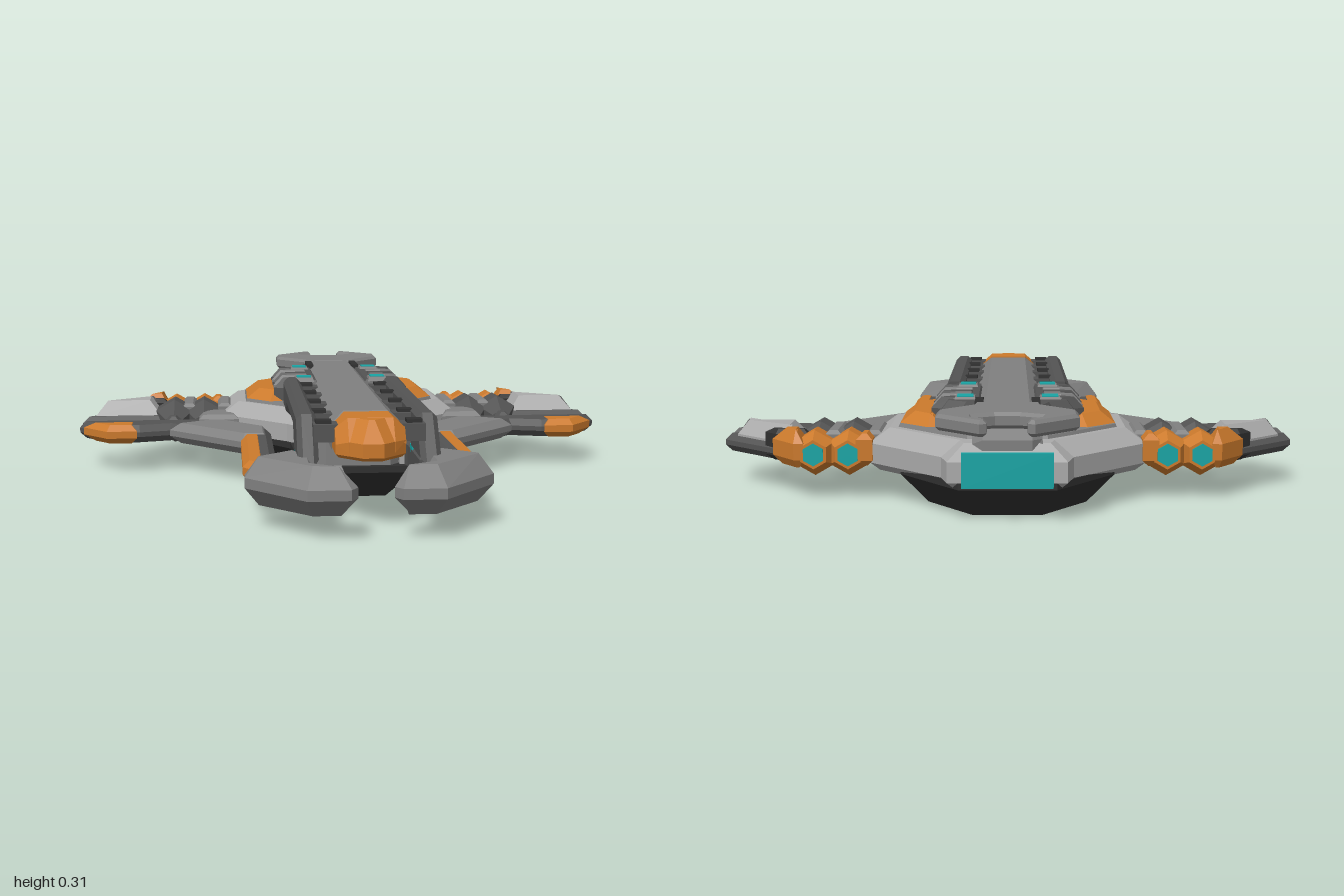
import * as THREE from 'three';

const LIGHT = 0xaaaaaa, MID = 0x808080, DARK = 0x545454, BLACK = 0x303030, ORANGE = 0xcc7a2c, TEAL = 0x18a5a5;
const materials = {};
const paint = (color) => (materials[color] ??= new THREE.MeshStandardMaterial({ color, flatShading: true }));

// Move every edge of a counter-clockwise outline inwards by d
function inset(pts, d) {
  const n = pts.length;
  const normal = (a, b) => new THREE.Vector2(a.y - b.y, b.x - a.x).normalize();
  return pts.map((p, i) => {
    const n1 = normal(pts[(i + n - 1) % n], p), n2 = normal(p, pts[(i + 1) % n]);
    const k = d / Math.max(0.35, 1 + n1.dot(n2));
    return p.clone().addScaledVector(n1.add(n2), k);
  });
}

// Stack of inset outlines with flat caps; layers are [height, inset]
function loft(outline, layers, place) {
  const pts = outline.map(([u, v]) => new THREE.Vector2(u, v));
  if (THREE.ShapeUtils.isClockWise(pts)) pts.reverse();
  const n = pts.length, pos = [];
  const rings = layers.map(([h, d]) => inset(pts, d).map((p) => place(p.x, p.y, h)));
  const tri = (a, b, c) => pos.push(...a, ...b, ...c);
  for (let r = 0; r + 1 < rings.length; r++) {
    for (let i = 0; i < n; i++) {
      const j = (i + 1) % n, lo = rings[r], hi = rings[r + 1];
      tri(lo[i], lo[j], hi[j]);
      tri(lo[i], hi[j], hi[i]);
    }
  }
  const cap = (ring, d, under) => {
    for (const [a, b, c] of THREE.ShapeUtils.triangulateShape(inset(pts, d), []))
      under ? tri(ring[a], ring[c], ring[b]) : tri(ring[a], ring[b], ring[c]);
  };
  cap(rings[0], layers[0][1], true);
  cap(rings.at(-1), layers.at(-1)[1], false);
  const geo = new THREE.BufferGeometry();
  geo.setAttribute('position', new THREE.Float32BufferAttribute(pos, 3));
  geo.computeVertexNormals();
  return geo;
}

const sym = (half) => [...half, ...half.map(([x, z]) => [-x, z]).reverse()];
const flip = (pts, s) => pts.map(([x, z]) => [x * s, z]);
const bevel = (a, b, d) => [[a, d], [a + d, 0], [b - d, 0], [b, d]];

export function createModel() {
  const model = new THREE.Group();
  const add = (name, color, geo) => {
    const mesh = new THREE.Mesh(geo, paint(color));
    mesh.name = name;
    model.add(mesh);
    return mesh;
  };
  // Plate: outline [x, z] stacked in y. Profile: outline [z, y] stacked in x.
  const plate = (name, color, pts, layers) =>
    add(name, color, loft(pts.map(([x, z]) => [x, -z]), layers, (u, v, h) => [u, h, -v]));
  const profile = (name, color, pts, layers) =>
    add(name, color, loft(pts.map(([z, y]) => [y, z]), layers, (u, v, h) => [h, u, v]));
  const box = (name, color, w, h, d, x, y, z) =>
    add(name, color, new THREE.BoxGeometry(w, h, d)).position.set(x, y, z);

  // Belly and main hull
  plate('belly', BLACK, sym([[0.14, -0.84], [0.32, -0.6], [0.32, -0.12], [0.19, 0.06], [0.17, 0.5]]),
    [[0, 0.082], [0.09, 0], [0.11, 0]]);
  plate('hull', LIGHT, sym([[0.17, -0.84], [0.19, -0.76], [0.42, -0.52], [0.42, -0.2], [0.2, 0.03], [0.18, 0.06]]),
    [[0.085, 0.03], [0.11, 0], [0.17, 0], [0.215, 0.06]]);
  plate('hullDeck', MID, sym([[0.12, -0.72], [0.2, -0.64], [0.34, -0.49], [0.34, -0.21], [0.18, -0.04]]),
    [[0.2, 0], [0.225, 0.01]]);
  plate('nose', MID, sym([[0.15, -0.05], [0.15, 0.42], [0.1, 0.48]]), [[0.08, 0.02], [0.11, 0], [0.2, 0], [0.22, 0.02]]);
  box('engineGlow', TEAL, 0.26, 0.1, 0.02, 0, 0.145, -0.833);
  for (const x of [-0.08, 0.08])
    for (const z of [-0.45, -0.1]) box('bellyLight', TEAL, 0.04, 0.004, 0.04, x, 0, z);

  // Spine with coloured prow
  plate('spine', MID, sym([[0.1, -0.7], [0.1, 0.7]]), [[0.2, 0], [0.28, 0], [0.31, 0.035]]);
  plate('prow', ORANGE, sym([[0.1, 0.69], [0.1, 0.82], [0.03, 0.895]]), [[0.2, 0.01], [0.21, 0], [0.25, 0], [0.31, 0.05]]);
  profile('prowTop', ORANGE, [[0.69, 0.22], [0.69, 0.311], [0.81, 0.311], [0.86, 0.25], [0.86, 0.22]],
    [[-0.1, 0.03], [-0.065, 0], [0.065, 0], [0.1, 0.03]]);

  // Forked tail
  plate('tailFork', MID, sym([[0.035, -0.845], [0.095, -0.88], [0.095, -0.91], [0.055, -0.95], [0.055, -0.985],
    [0.075, -0.995], [0.2, -0.87], [0.2, -0.78], [0.1, -0.67], [0.1, -0.62]]), bevel(0.265, 0.311, 0.01));
  profile('tailNeck', MID, [[-0.6, 0.2], [-0.83, 0.2], [-0.83, 0.23], [-0.76, 0.28], [-0.6, 0.3]], bevel(-0.1, 0.1, 0.03));

  for (const s of [1, -1]) {
    const side = (name, color, pts, layers) => plate(name, color, flip(pts, s), layers);
    const rail = (name, color, pts, x0, x1, d) =>
      profile(name, color, pts, s > 0 ? bevel(x0, x1, d) : bevel(-x1, -x0, d));

    // Upper rails with clips to the spine
    rail('rail', DARK, [[0.83, 0.175], [0.72, 0.31], [-0.12, 0.31], [-0.12, 0.21], [0.1, 0.21], [0.14, 0.245],
      [0.54, 0.245], [0.6, 0.18]], 0.145, 0.205, 0.015);
    for (const z of [-0.05, 0.15, 0.36, 0.56, 0.76]) {
      box('railClip', DARK, 0.07, 0.05, 0.07, s * 0.125, 0.265, z);
      box('railStud', BLACK, 0.045, 0.04, 0.04, s * 0.13, 0.28, z);
    }
    // Ribs along the nose
    for (let i = 0; i < 6; i++) {
      const z = 0.06 + i * 0.075;
      side('noseRib', i % 2 ? LIGHT : MID, [[0.13, z - 0.037], [0.17, z - 0.03], [0.17, z + 0.03], [0.13, z + 0.037]],
        [[0.1, 0], [0.17, 0], [0.2, 0.01]]);
    }
    box('noseLight', TEAL, 0.05, 0.03, 0.05, s * 0.175, 0.175, 0.57);

    // Front mandibles, tapering to a blunt edge at mid height
    side('mandibleArm', DARK, [[0.13, 0.4], [0.18, 0.4], [0.205, 0.6], [0.21, 0.74], [0.15, 0.74], [0.15, 0.5]], bevel(0.09, 0.19, 0.015));
    const mandible = side('mandible', MID, [[0.19, 0.64], [0.24, 0.66], [0.355, 0.77], [0.355, 0.81], [0.19, 1], [0.07, 1],
      [0.05, 0.965], [0.14, 0.89], [0.14, 0.8], [0.17, 0.7]], [[0.06, 0.04], [0.115, 0], [0.145, 0], [0.2, 0.04]]);
    const points = mandible.geometry.attributes.position;
    for (let i = 0; i < points.count; i++)
      points.setZ(i, 0.64 + (points.getZ(i) - 0.64) * (1 - 1.4 * Math.max(0, Math.abs(points.getY(i) - 0.13) - 0.015)));
    mandible.geometry.computeVertexNormals();

    // Shoulder blocks with teeth, lights and coloured armour
    side('shoulder', DARK, [[0.06, -0.66], [0.12, -0.66], [0.15, -0.56], [0.21, -0.52], [0.21, -0.16], [0.15, -0.1], [0.06, -0.1]],
      [[0.2, 0], [0.26, 0], [0.3, 0.03]]);
    box('shoulderSlot', BLACK, 0.025, 0.02, 0.13, s * 0.085, 0.3, -0.57);
    for (let i = 0; i < 5; i++) {
      const z = -0.46 + i * 0.075;
      side('shoulderTooth', i % 2 ? MID : DARK, [[0.1, z - 0.035], [0.17, z - 0.035], [0.235, z], [0.17, z + 0.035], [0.1, z + 0.035]],
        [[0.22, 0], [0.27, 0], [0.305, 0.015]]);
    }
    for (const z of [-0.465, -0.16]) {
      side('lightPad', MID, [[0.08, z - 0.05], [0.18, z - 0.05], [0.18, z + 0.05], [0.08, z + 0.05]], [[0.25, 0], [0.308, 0.02]]);
      box('topLight', TEAL, 0.05, 0.01, 0.05, s * 0.13, 0.306, z);
    }
    side('shoulderArmour', ORANGE, [[0.19, -0.55], [0.24, -0.56], [0.33, -0.47], [0.33, -0.22], [0.25, -0.13], [0.19, -0.15]],
      [[0.21, 0], [0.225, 0], [0.26, 0.045]]);

    // Rear wing with raised outer plate and inner strips
    side('rearWing', DARK, [[0.38, -0.5], [0.64, -0.5], [0.7, -0.46], [0.915, -0.265], [0.915, -0.24], [0.38, -0.24]],
      bevel(0.1, 0.16, 0.022));
    side('rearWingTop', LIGHT, [[0.64, -0.46], [0.69, -0.45], [0.87, -0.285], [0.87, -0.27], [0.64, -0.27]],
      [[0.15, 0], [0.16, 0], [0.21, 0.04]]);
    for (const x of [0.41, 0.5375])
      side('wingStrip', MID, [[x - 0.025, -0.47], [x + 0.025, -0.47], [x + 0.025, -0.27], [x - 0.025, -0.27]], bevel(0.13, 0.2, 0.012));
    side('wingArmour', ORANGE, [[0.62, -0.54], [0.65, -0.54], [0.73, -0.44], [0.62, -0.44]],
      [[0.095, 0.015], [0.12, 0], [0.17, 0], [0.212, 0.025]]);
    side('innerArmour', ORANGE, [[0.41, -0.54], [0.46, -0.54], [0.46, -0.44], [0.41, -0.44]], bevel(0.1, 0.2, 0.018));
    side('wingBand', BLACK, [[0.62, -0.44], [0.72, -0.44], [0.76, -0.4], [0.62, -0.4]], bevel(0.1, 0.2, 0.015));

    // Paired wing engines, turned from [radius, z]
    for (const x of [0.485, 0.59]) {
      const section = (name, color, pts) => {
        const mesh = add(name, color, new THREE.LatheGeometry(pts.map(([r, z]) => new THREE.Vector2(r, z)), 6));
        mesh.rotation.x = Math.PI / 2;
        mesh.position.set(s * x, 0.137, 0);
      };
      section('engineRear', ORANGE, [[0, -0.54], [0.045, -0.54], [0.07, -0.5], [0.07, -0.43], [0.055, -0.41], [0, -0.41]]);
      section('engineCollar', BLACK, [[0, -0.42], [0.06, -0.42], [0.06, -0.38], [0, -0.38]]);
      section('engineBody', DARK, [[0, -0.39], [0.06, -0.39], [0.077, -0.37], [0.077, -0.28], [0.035, -0.2], [0, -0.2]]);
      section('engineNozzle', TEAL, [[0, -0.545], [0.035, -0.545], [0.035, -0.53], [0, -0.53]]);
    }
    // Links between the wings
    side('wingLink', MID, [[0.38, -0.27], [0.47, -0.27], [0.5, -0.2], [0.5, -0.12], [0.36, -0.12]], bevel(0.1, 0.18, 0.015));
    side('linkFin', DARK, [[0.56, -0.28], [0.63, -0.28], [0.61, -0.15], [0.57, -0.15]], bevel(0.1, 0.17, 0.015));

    // Front wing, swept arm and long outrigger
    side('frontWing', DARK, [[0.4, -0.18], [0.915, -0.18], [0.915, -0.15], [0.81, -0.03], [0.7, -0.03], [0.6, -0.06], [0.5, 0.04]],
      bevel(0.1, 0.16, 0.022));
    side('frontWingTip', ORANGE, [[0.71, -0.13], [0.9, -0.13], [0.812, -0.027], [0.71, -0.027]], bevel(0.098, 0.162, 0.02));
    side('sweptArm', MID, [[0.43, -0.17], [0.6, -0.06], [0.355, 0.2], [0.26, 0.2], [0.26, 0.02]], bevel(0.095, 0.165, 0.025));
    side('outrigger', DARK, [[0.255, 0.04], [0.355, 0.02], [0.355, 0.64], [0.325, 0.685], [0.255, 0.62]], bevel(0.1, 0.16, 0.022));
    side('outriggerStripe', ORANGE, [[0.285, 0.07], [0.358, 0.01], [0.358, 0.64], [0.327, 0.687], [0.285, 0.65]],
      bevel(0.098, 0.162, 0.02));
  }
  return model;
}
